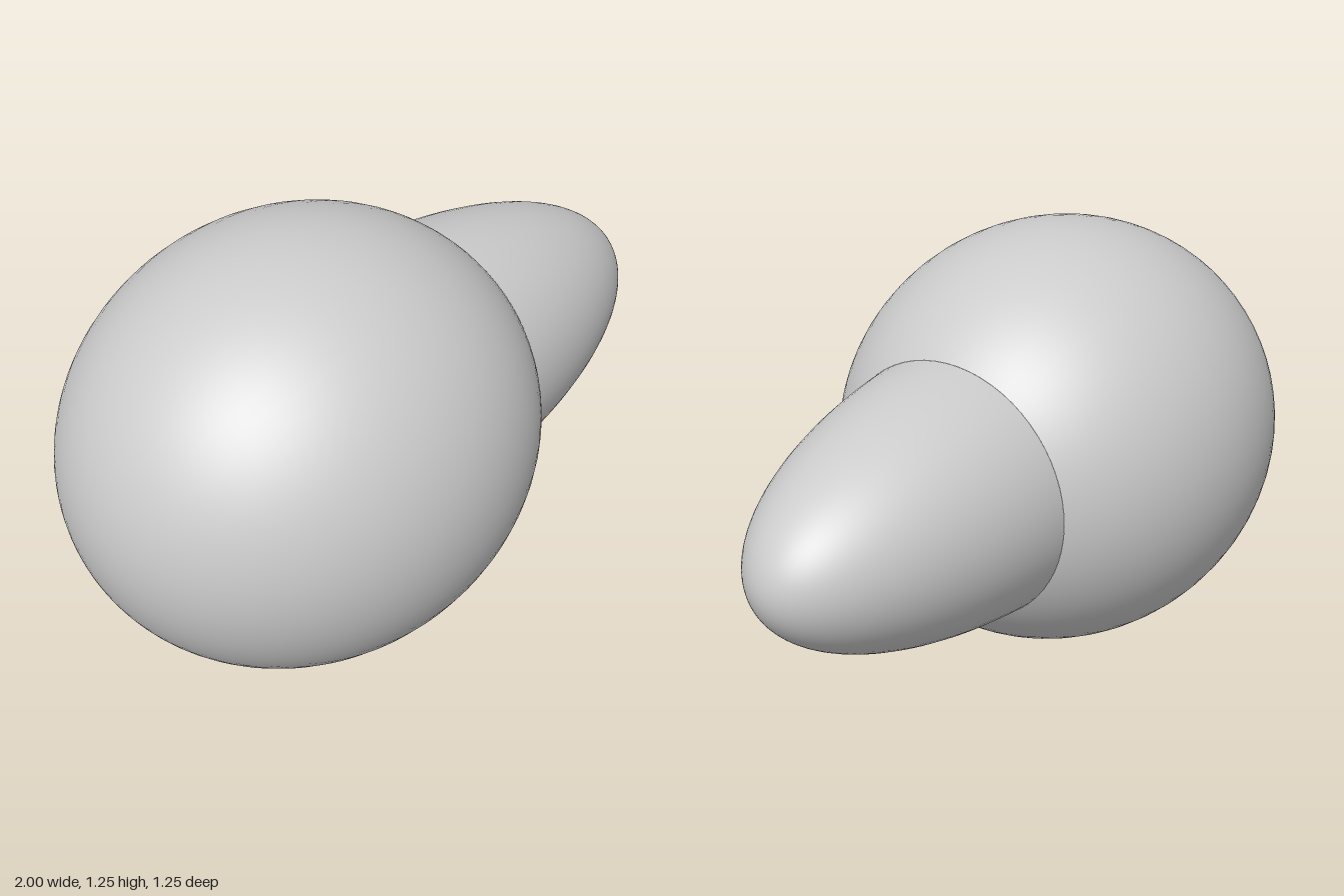
import * as THREE from 'three';

const CENTER_Y = 0.625;
const SEAM_X = 0.258; // where the two egg shapes meet

// Ellipsoid of revolution about x, kept only between two polar angles from +x
function ellipsoid(name, centerX, halfLength, radius, thetaStart, thetaEnd) {
  const geometry = new THREE.SphereGeometry(1, 64, 40, 0, Math.PI * 2, thetaStart, thetaEnd - thetaStart);
  geometry.rotateZ(-Math.PI / 2);
  geometry.scale(halfLength, radius, radius);
  const mesh = new THREE.Mesh(geometry, new THREE.MeshStandardMaterial({ color: 0xcccccc }));
  mesh.name = name;
  mesh.position.set(centerX, CENTER_Y, 0);
  return mesh;
}

export function createModel() {
  const model = new THREE.Group();
  model.name = 'roundBodyWithSnout';

  // Large round body, open where the snout joins
  const bodyX = -0.3, bodyLength = 0.7;
  const bodySeam = Math.acos((SEAM_X - bodyX) / bodyLength);
  model.add(ellipsoid('body', bodyX, bodyLength, 0.623, bodySeam, Math.PI));

  // Tapered snout with a rounded tip
  model.add(ellipsoid('snout', 0, 1, 0.389, 0, Math.acos(SEAM_X)));

  return model;
}
